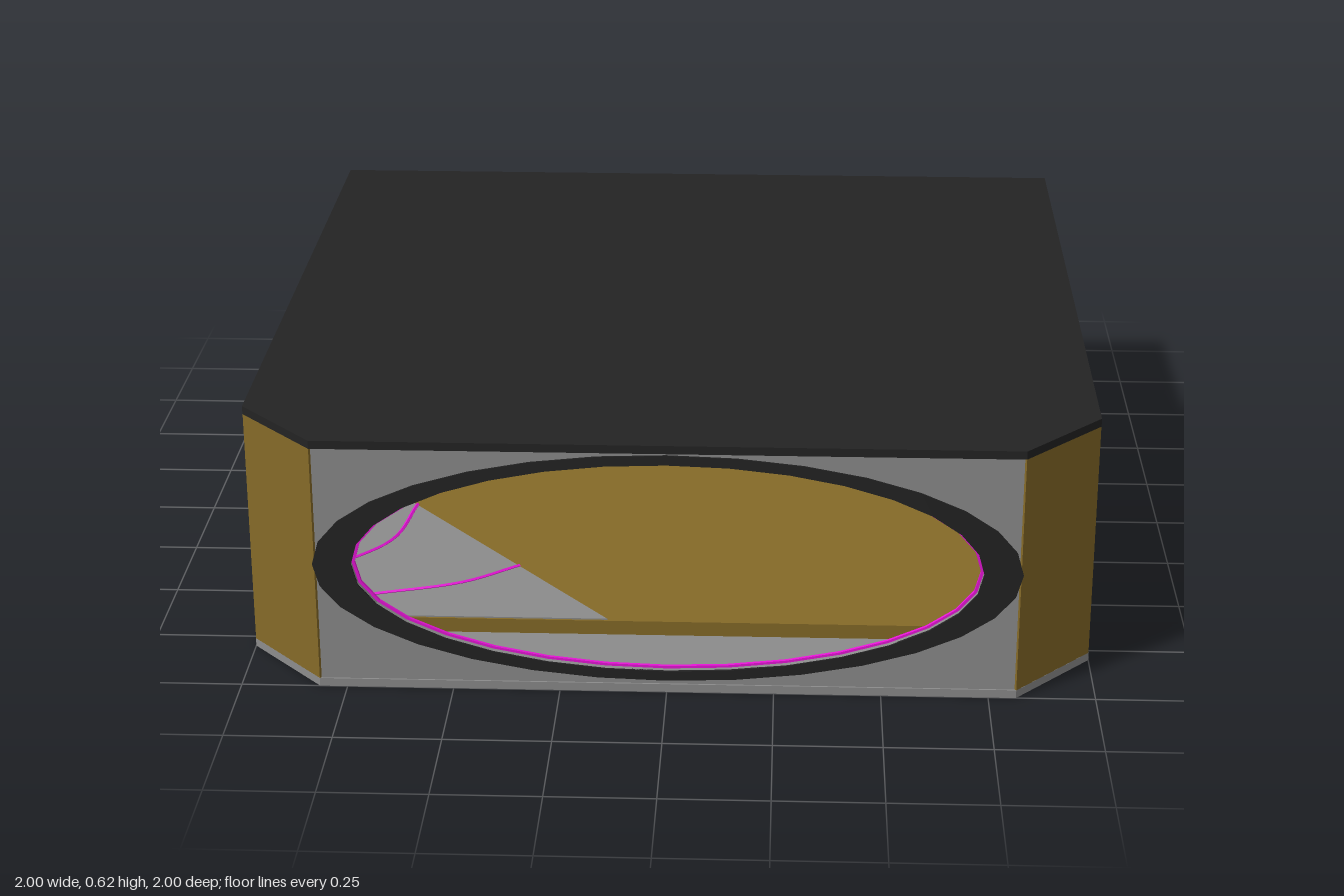
import * as THREE from 'three';

const paint = (color) => new THREE.MeshStandardMaterial({ color, side: THREE.DoubleSide, flatShading: true });
const GREY = paint(0x8c8c8c), DARK = paint(0x232323), GOLD = paint(0x856a28);
const BLUE = paint(0x3068f8), NEON = paint(0xe815d8), NAVY = paint(0x171060);
const MID = 0.315; // height of the centre of every oval

function add(parent, name, geometry, material, x = 0, y = 0, z = 0) {
  const mesh = new THREE.Mesh(geometry, material);
  mesh.name = name;
  mesh.position.set(x, y, z);
  parent.add(mesh);
  return mesh;
}

const extrude = (shape, depth) => new THREE.ExtrudeGeometry(shape, { depth, bevelEnabled: false, curveSegments: 16 });

function oval(Type, a, b) {
  return new Type().absellipse(0, MID, a, b, 0, Math.PI * 2, false, 0);
}

function ovalRing(a, b, innerA, innerB, depth) {
  const shape = oval(THREE.Shape, a, b);
  shape.holes.push(oval(THREE.Path, innerA, innerB));
  return extrude(shape, depth);
}

// Horizontal slab from [x, z] corners
function slab(points, height) {
  const shape = new THREE.Shape(points.map(([x, z]) => new THREE.Vector2(x, -z)));
  return extrude(shape, height).rotateX(-Math.PI / 2);
}

// Rectangle with both front corners cut off
const footprint = (x0, x1, z0, z1, cx, cz) =>
  [[x0, z0], [x1, z0], [x1, z1 - cz], [x1 - cx, z1], [x0 + cx, z1], [x0, z1 - cz]];

// Wall facing local +z with an oval opening, rim, neon ring and optional recessed window
function wall(name, halfWidth, rimHalf, hasWindow) {
  const group = new THREE.Group();
  group.name = name;
  const a = rimHalf - 0.09, b = 0.262;
  const depth = hasWindow ? 0.1 : 0.03;
  const panel = new THREE.Shape();
  panel.moveTo(-halfWidth, 0.005).lineTo(halfWidth, 0.005).lineTo(halfWidth, 0.605).lineTo(-halfWidth, 0.605);
  panel.holes.push(oval(THREE.Path, a, b));
  add(group, 'wallPanel', extrude(panel, 0.02), GREY, 0, 0, -0.024);
  add(group, 'openingRim', ovalRing(rimHalf, 0.286, a, b, 0.006), DARK, 0, 0, -0.006);
  add(group, 'openingSleeve', ovalRing(a + 0.01, b + 0.01, a, b, depth - 0.006), GREY, 0, 0, -depth);
  add(group, 'neonRing', ovalRing(a + 0.002, b + 0.002, a - 0.007, b - 0.006, 0.008), NEON, 0, 0, -0.024);
  if (hasWindow) {
    add(group, 'windowFrame', ovalRing(a + 0.005, b + 0.005, a - 0.02, b - 0.014, 0.012), DARK, 0, 0, -depth);
  }
  return group;
}

// Thin neon strip through a few points
function neonLine(parent, name, points) {
  const curve = new THREE.CatmullRomCurve3(points.map((p) => new THREE.Vector3(...p)));
  add(parent, name, new THREE.TubeGeometry(curve, 16, 0.005, 5), NEON);
}

export function createModel() {
  const model = new THREE.Group();
  model.name = 'ovalWindowPavilion';

  // Roof and base
  const outline = footprint(-1, 1, -1, 1, 0.185, 0.2);
  add(model, 'roof', slab(outline, 0.02), DARK, 0, 0.605, 0);
  add(model, 'base', slab(outline, 0.02), GREY);

  // Walls: open at the front and at -x, glazed at the back and at +x
  const walls = [
    ['frontWall', 0.815, 0.82, false, 0, 0, 1],
    ['sideOpenWall', 0.9, 0.9, false, -Math.PI / 2, -1, -0.1],
    ['backWall', 1, 0.82, true, Math.PI, 0, -1],
    ['sideWindowWall', 0.9, 0.9, true, Math.PI / 2, 1, -0.1],
  ];
  for (const [name, halfWidth, rim, hasWindow, turn, x, z] of walls) {
    const group = wall(name, halfWidth, rim, hasWindow);
    group.rotation.y = turn;
    group.position.set(x, 0, z);
    model.add(group);
  }

  // Cut corner panels
  for (const s of [-1, 1]) {
    const corner = add(model, 'cornerPanel', new THREE.BoxGeometry(0.272, 0.585, 0.02), GOLD,
      s * 0.9, 0.3125, 0.893);
    corner.rotation.y = s * Math.atan2(0.2, 0.185);
  }

  // Blue panels behind the two windows
  add(model, 'backBluePanel', new THREE.BoxGeometry(1.76, 0.585, 0.02), BLUE, 0.08, 0.3125, -0.89);
  add(model, 'sideBluePanel', new THREE.BoxGeometry(0.02, 0.585, 1.68), BLUE, 0.89, 0.3125, -0.1);

  // Raised floor with a grey corner area
  const room = footprint(-0.965, 0.88, -0.88, 0.965, 0.17, 0.185);
  add(model, 'platform', slab(room, 0.035), GOLD, 0, 0.13, 0);
  add(model, 'floorInlay', slab([[-0.96, -0.03], [-0.14, 0.96], [-0.795, 0.96], [-0.96, 0.78]], 0.004),
    GREY, 0, 0.164, 0);
  const floorLines = [
    [[-0.92, 0.02], [-0.89, 0.3], [-0.92, 0.62]],
    [[-0.66, 0.33], [-0.7, 0.55], [-0.84, 0.72]],
    [[-0.37, 0.68], [-0.5, 0.78], [-0.7, 0.85]],
  ];
  for (const line of floorLines) neonLine(model, 'floorNeon', line.map(([x, z]) => [x, 0.168, z]));

  // Ceiling that drops towards the back
  const ceilingHeight = (z) => 0.46 + 0.13 * (z + 0.88) / 1.845;
  const ceiling = slab(room, 0.605);
  const pos = ceiling.attributes.position;
  for (let i = 0; i < pos.count; i++) {
    if (pos.getY(i) < 0.3) pos.setY(i, ceilingHeight(pos.getZ(i)));
  }
  ceiling.computeVertexNormals();
  add(model, 'ceiling', ceiling, GREY);
  const ceilingLines = [
    [[-0.32, 0.6], [-0.21, 0], [-0.15, -0.87]],
    [[0.05, 0.7], [0.27, 0], [0.4, -0.87]],
  ];
  for (const line of ceilingLines) neonLine(model, 'ceilingNeon', line.map(([x, z]) => [x, ceilingHeight(z), z]));

  // Cabinet standing on the platform
  const cabinet = new THREE.Group();
  cabinet.name = 'cabinet';
  cabinet.position.set(0.26, 0.165, -0.45);
  add(cabinet, 'cabinetBody', new THREE.BoxGeometry(0.18, 0.165, 0.17), NAVY, 0, 0.0825, 0);
  for (const x of [-0.055, 0, 0.055]) {
    add(cabinet, 'cabinetDoor', new THREE.BoxGeometry(0.045, 0.14, 0.01), NAVY, x, 0.0825, 0.087);
  }
  model.add(cabinet);

  // Rest the roof top at its final height, centred on the ground
  model.updateMatrixWorld(true);
  return model;
}
